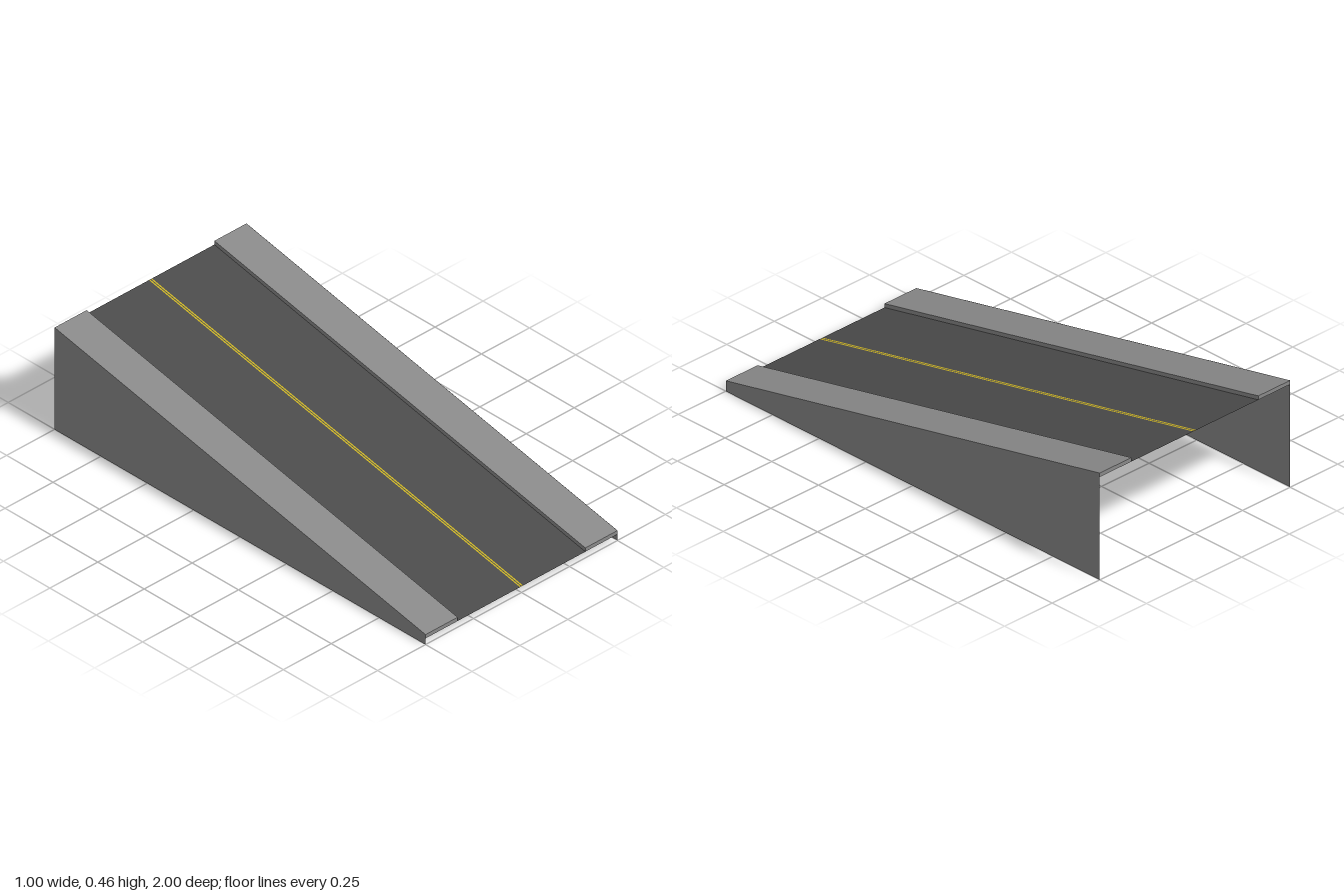
import * as THREE from 'three';

const RISE = 0.416;   // height gained from the front end to the back end
const ROAD = 0.028;   // road height at the front end
const CURB = 0.017;   // kerb height above the road
const HALF = 0.5, LANE = 0.333;

const material = (name, color, side = THREE.DoubleSide) => {
  const m = new THREE.MeshStandardMaterial({ color, side });
  m.name = name;
  return m;
};

// Lift every vertex onto the slope
function incline(geometry) {
  const p = geometry.attributes.position;
  for (let i = 0; i < p.count; i++) {
    p.setY(i, p.getY(i) + ROAD + RISE * (1 - p.getZ(i)) / 2);
  }
  geometry.computeVertexNormals();
  return geometry;
}

// Flat lengthwise strip of the road surface between two x positions
function strip(x0, x1) {
  const g = new THREE.PlaneGeometry(x1 - x0, 2).rotateX(-Math.PI / 2);
  return incline(g.translate((x0 + x1) / 2, 0, 0));
}

export function createModel() {
  const group = new THREE.Group();
  group.name = 'roadRamp';
  const asphalt = material('asphalt', 0x4b4b4b);
  const concrete = material('concrete', 0x898989);
  const yellow = material('yellowPaint', 0xc9b122);

  const add = (name, geometry, mat) => {
    const mesh = new THREE.Mesh(geometry, mat);
    mesh.name = name;
    group.add(mesh);
  };

  // Road surface, with the double centre line set into it
  add('roadCentre', strip(-0.002, 0.002), asphalt);
  for (const [side, s] of [['left', 1], ['right', -1]]) {
    const between = (a, b) => strip(Math.min(s * a, s * b), Math.max(s * a, s * b));
    add(side + 'CentreLine', between(0.002, 0.008), yellow);
    add(side + 'Lane', between(0.008, LANE), asphalt);

    // Raised pavement with kerb
    const pavement = new THREE.BoxGeometry(HALF - LANE, CURB, 2);
    pavement.translate(s * (HALF + LANE) / 2, CURB / 2, 0);
    add(side + 'Pavement', incline(pavement), concrete);

    // Thin side wall down to the ground; shape x becomes -z
    const low = ROAD + CURB;
    const outline = new THREE.Shape([
      new THREE.Vector2(-1, 0), new THREE.Vector2(1, 0),
      new THREE.Vector2(1, low + RISE), new THREE.Vector2(-1, low),
    ]);
    const wall = new THREE.ShapeGeometry(outline).rotateY(Math.PI / 2);
    if (s < 0) wall.scale(-1, 1, 1).index.array.reverse();
    wall.computeVertexNormals();
    add(side + 'Wall', wall.translate(s * (HALF + 0.0005), 0, 0), concrete);
  }
  return group;
}
